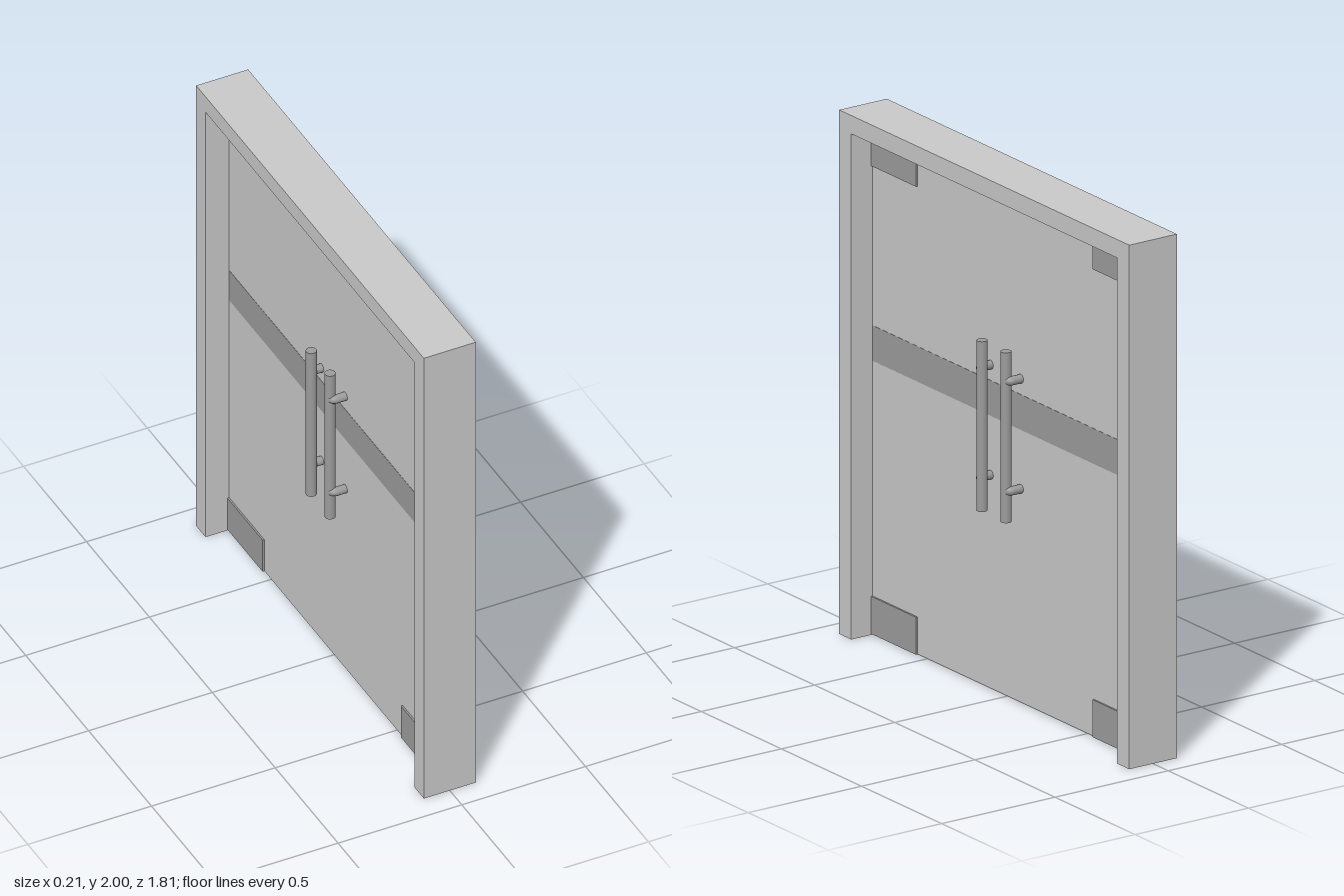
import * as THREE from 'three';

export function createModel() {
  const group = new THREE.Group();
  const pale = new THREE.MeshStandardMaterial({ color: 0xc8c8c8 });
  pale.name = 'pale grey';
  const metal = new THREE.MeshStandardMaterial({ color: 0x9b9b9b });
  metal.name = 'metal grey';

  const add = (name, geometry, material, x = 0, y = 0, z = 0) => {
    const mesh = new THREE.Mesh(geometry, material);
    mesh.name = name;
    mesh.position.set(x, y, z);
    group.add(mesh);
    return mesh;
  };

  // Door frame: one U-shaped outline, open at the floor
  const W = 0.905, H = 2, inner = 0.83, head = 1.93, depth = 0.21;
  const outline = new THREE.Shape([
    [-W, 0], [-inner, 0], [-inner, head], [inner, head],
    [inner, 0], [W, 0], [W, H], [-W, H],
  ].map(([x, y]) => new THREE.Vector2(x, y)));
  const frame = new THREE.ExtrudeGeometry(outline, { depth, bevelEnabled: false });
  frame.translate(0, 0, -depth / 2).rotateY(Math.PI / 2);
  add('doorFrame', frame, pale);

  // Two glass leaves meeting in the middle
  const bottom = 0.005;
  for (const s of [-1, 1]) {
    add('glassLeaf', new THREE.BoxGeometry(0.02, head - bottom, inner), pale,
      0, (head + bottom) / 2, s * inner / 2);
  }

  for (const side of [-1, 1]) {
    // Frosted safety stripe on each face
    add('safetyStripe', new THREE.BoxGeometry(0.001, 0.135, inner * 2), metal,
      side * 0.0105, 1.1125, 0);

    for (const s of [-1, 1]) {
      // Pull bar
      add('pullBar', new THREE.CylinderGeometry(0.02, 0.02, 0.65, 24), metal,
        side * 0.062, 1.025, s * 0.075);

      // Elbow brackets from the glass to the bar
      const path = new THREE.CurvePath();
      const p = (x, z) => new THREE.Vector3(side * x, 0, s * z);
      path.add(new THREE.LineCurve3(p(0.005, 0.094), p(0.045, 0.094)));
      path.add(new THREE.QuadraticBezierCurve3(p(0.045, 0.094), p(0.062, 0.094), p(0.062, 0.075)));
      for (const y of [0.82, 1.24]) {
        add('barBracket', new THREE.TubeGeometry(path, 12, 0.017, 12), metal, 0, y, 0);
      }
    }
  }

  // Corner patch fittings clamping the glass
  for (const s of [-1, 1]) {
    for (const [y0, y1] of [[0.004, 0.147], [1.79, 1.93]]) {
      add('cornerFitting', new THREE.BoxGeometry(0.034, y1 - y0, 0.28), metal,
        0, (y0 + y1) / 2, s * 0.69);
    }
  }

  return group;
}
